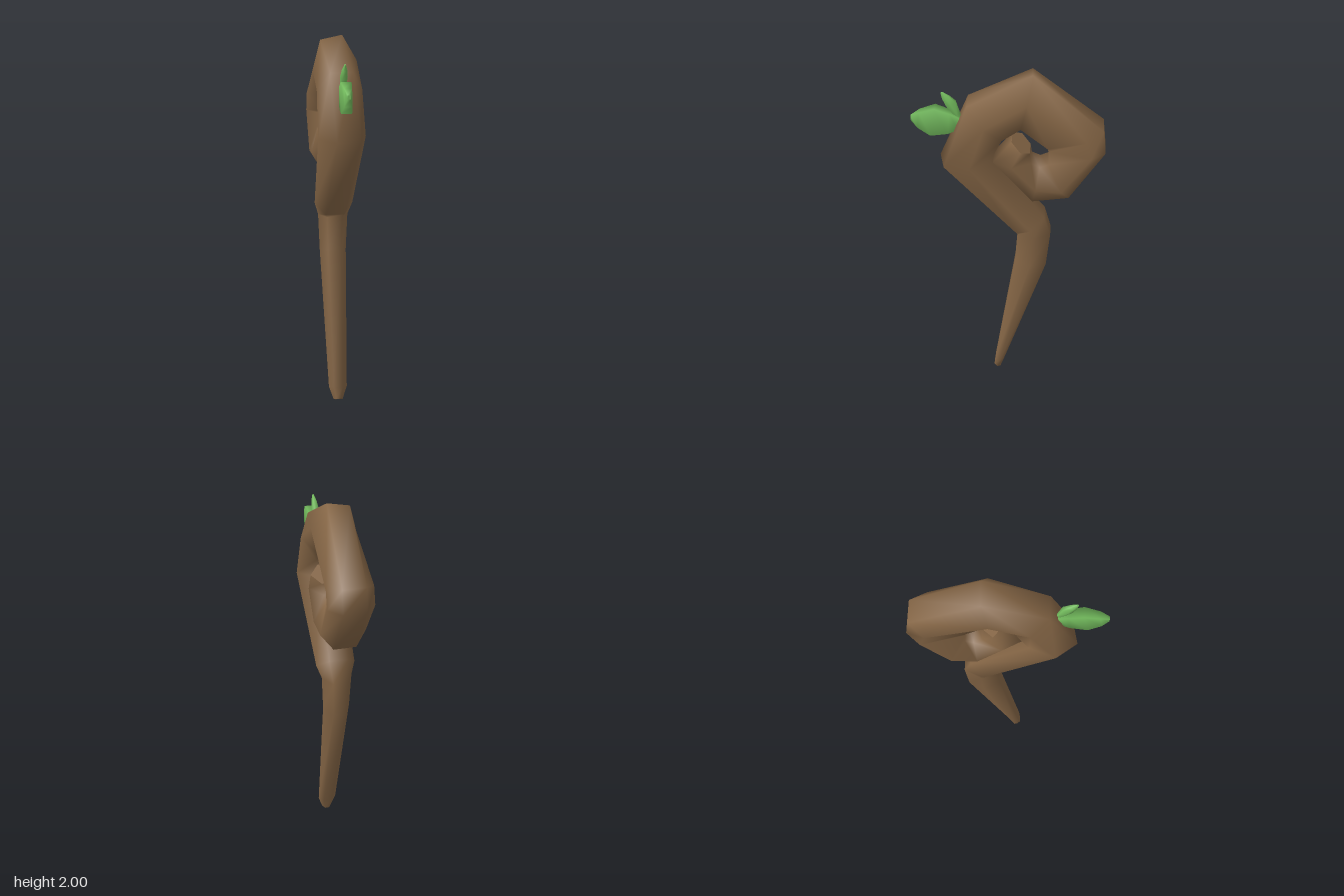
import * as THREE from 'three';

// Lofts rings along a path in the yz plane.
// Each station: [outer z, outer y, inner z, inner y, half width in x, twist, side shift, x offset]
// The side shift moves the widest corners toward the outer edge.
function loft(sides, stations) {
  const pos = [], index = [];
  const ring = ([az, ay, bz, by, hw, twist = 0, shift = 0, dx = 0]) => {
    const angles = Array.from({ length: sides }, (_, j) => ((j + 0.5) / sides) * Math.PI * 2 + twist);
    const mc = Math.max(...angles.map(a => Math.abs(Math.cos(a))));
    const ms = Math.max(...angles.map(a => Math.abs(Math.sin(a))));
    return angles.map(a => {
      const s = Math.sin(a) / ms;
      const wide = Math.abs(s) > 0.85 ? shift : 0;
      const c = (Math.cos(a) / mc + wide) / 2;
      return [dx + hw * s, (ay + by) / 2 + (ay - by) * c, (az + bz) / 2 + (az - bz) * c];
    });
  };
  const rings = stations.map(ring);
  rings.forEach(r => r.forEach(p => pos.push(...p)));
  for (let i = 0; i < rings.length - 1; i++) {
    for (let j = 0; j < sides; j++) {
      const a = i * sides + j, b = i * sides + (j + 1) % sides;
      index.push(a, b, b + sides, a, b + sides, a + sides);
    }
  }
  // Flat end caps with their own vertices
  [rings[0], rings[rings.length - 1]].forEach((r, end) => {
    const base = pos.length / 3;
    r.forEach(p => pos.push(...p));
    for (let j = 1; j < sides - 1; j++) {
      if (end) index.push(base, base + j, base + j + 1);
      else index.push(base, base + j + 1, base + j);
    }
  });
  const g = new THREE.BufferGeometry();
  g.setAttribute('position', new THREE.Float32BufferAttribute(pos, 3));
  g.setIndex(index);
  g.computeVertexNormals();
  return g;
}

export function createModel() {
  const wood = new THREE.MeshStandardMaterial({ name: 'brown wood', color: 0x846545 });
  const green = new THREE.MeshStandardMaterial({ name: 'leaf green', color: 0x74bd5e });
  const group = new THREE.Group();
  group.name = 'curledStaff';
  const add = (name, sides, stations, material) => {
    const mesh = new THREE.Mesh(loft(sides, stations), material);
    mesh.name = name;
    group.add(mesh);
  };

  // Six-sided shaft rising into a spiral head
  add('staff', 6, [
    [0.085, 0.015, 0.05, 0.0, 0.025],
    [0.077, 0.08, 0.028, 0.075, 0.05],
    [-0.035, 0.83, -0.205, 0.81, 0.073, 0, 0, -0.007],
    [-0.048, 1.015, -0.225, 1.02, 0.082, 0, 0, -0.005],
    [-0.045, 1.03, -0.19, 1.14, 0.105, 0, 0, -0.003],
    [0.36, 1.47, 0.09, 1.5, 0.128, 0.2],
    [0.21, 1.82, 0.035, 1.625, 0.12],
    [-0.12, 2.0, -0.058, 1.68, 0.12, -0.15],
    [-0.48, 1.7, -0.2, 1.585, 0.122, 0, 0.4],
    [-0.495, 1.57, -0.205, 1.57, 0.122, 0, 0.5],
    [-0.315, 1.285, -0.206, 1.49, 0.12, 0, 0.3],
    [-0.125, 1.255, -0.162, 1.47, 0.12],
    [0.08, 1.495, -0.117, 1.496, 0.11, 0, 0, 0.005],
    [-0.017, 1.625, -0.11, 1.56, 0.095, 0, 0, 0.02],
  ], wood);

  // Broad, blunt leaf pointing forward
  add('largeLeaf', 4, [
    [0.22, 1.685, 0.22, 1.71, 0.012],
    [0.255, 1.66, 0.255, 1.73, 0.02],
    [0.31, 1.637, 0.3, 1.755, 0.025],
    [0.4, 1.625, 0.375, 1.782, 0.028],
    [0.465, 1.665, 0.455, 1.755, 0.02],
    [0.5, 1.705, 0.5, 1.725, 0.009],
  ], green);

  // Slim leaf pointing upward
  add('smallLeaf', 6, [
    [0.25, 1.70, 0.235, 1.71, 0.006],
    [0.275, 1.735, 0.248, 1.75, 0.014],
    [0.315, 1.79, 0.268, 1.815, 0.02],
    [0.334, 1.83, 0.3, 1.846, 0.014],
    [0.343, 1.862, 0.333, 1.868, 0.004],
  ], green);

  return group;
}
